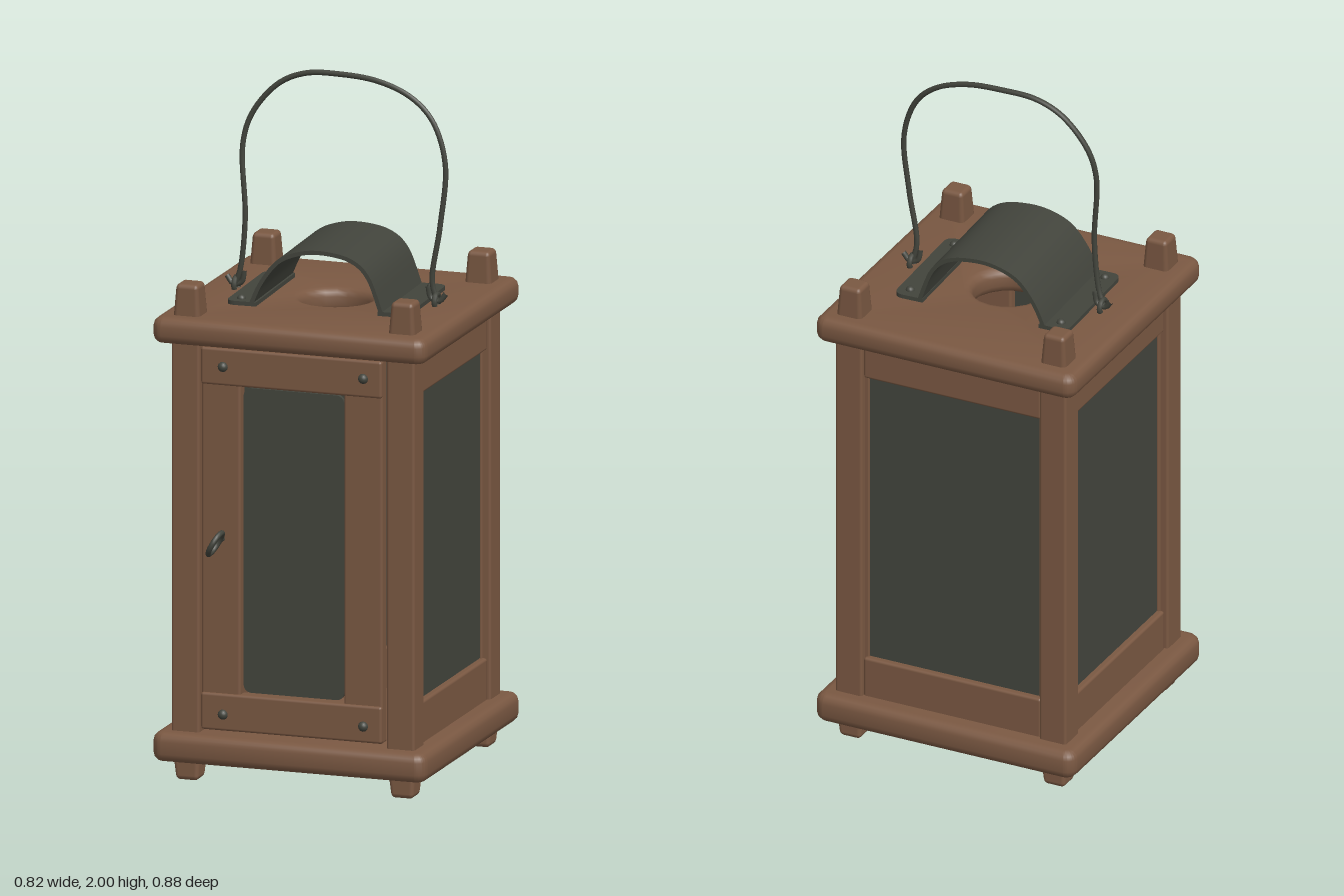
import * as THREE from 'three';
import { toCreasedNormals } from 'three/addons/utils/BufferGeometryUtils.js';
import { RoundedBoxGeometry } from 'three/addons/geometries/RoundedBoxGeometry.js';

const wood = new THREE.MeshStandardMaterial({ color: 0x7a5842 });
wood.name = 'brown wood';
const metal = new THREE.MeshStandardMaterial({ color: 0x42443c });
metal.name = 'dark iron';
const glass = new THREE.MeshStandardMaterial({ color: 0x43453d });
glass.name = 'smoky glass';

const ZC = -0.025; // middle of the lantern body in z

function add(parent, name, geometry, material, x = 0, y = 0, z = 0) {
  const mesh = new THREE.Mesh(geometry, material);
  mesh.name = name;
  mesh.position.set(x, y, z);
  parent.add(mesh);
  return mesh;
}

// Softened box given by its limits
function beam(parent, name, [x0, x1], [y0, y1], [z0, z1], material = wood, r = 0.008) {
  return add(parent, name, new RoundedBoxGeometry(x1 - x0, y1 - y0, z1 - z0, 2, r), material,
    (x0 + x1) / 2, (y0 + y1) / 2, (z0 + z1) / 2);
}

function roundedRect(w, h, r) {
  const s = new THREE.Shape();
  const a = w / 2, b = h / 2;
  s.absarc(a - r, b - r, r, 0, Math.PI / 2);
  s.absarc(-a + r, b - r, r, Math.PI / 2, Math.PI);
  s.absarc(-a + r, -b + r, r, Math.PI, Math.PI * 1.5);
  s.absarc(a - r, -b + r, r, Math.PI * 1.5, Math.PI * 2);
  s.closePath();
  return s;
}

// Thick board with soft edges, optionally with a round vent
function slab(parent, name, y0, y1, ventRadius) {
  const bevel = 0.025;
  const shape = roundedRect(0.82 - 2 * bevel, 0.825 - 2 * bevel, 0.012);
  if (ventRadius) {
    const hole = new THREE.Path();
    hole.absarc(0, 0, ventRadius + bevel, 0, Math.PI * 2, true);
    shape.holes.push(hole);
  }
  const g = new THREE.ExtrudeGeometry(shape, {
    depth: y1 - y0 - 2 * bevel, bevelSize: bevel, bevelThickness: bevel, bevelSegments: 3, curveSegments: 10,
  });
  g.translate(0, 0, bevel).rotateX(-Math.PI / 2);
  add(parent, name, toCreasedNormals(g, 0.65), wood, 0, y0, ZC);
}

// Peg that narrows toward its outer end
function peg(parent, name, x, y0, y1, z, narrowTop) {
  const h = y1 - y0;
  const g = new RoundedBoxGeometry(0.082, h, 0.082, 2, 0.014);
  const p = g.attributes.position;
  for (let i = 0; i < p.count; i++) {
    const t = p.getY(i) / h + 0.5;
    const k = 1 - 0.2 * (narrowTop ? t : 1 - t);
    p.setX(i, p.getX(i) * k);
    p.setZ(i, p.getZ(i) * k);
  }
  add(parent, name, g, wood, x, (y0 + y1) / 2, z);
}

// Domed rivet head, its dome along +y
function rivet(parent, x, y, z, r = 0.013) {
  const g = new THREE.SphereGeometry(r, 12, 6, 0, Math.PI * 2, 0, Math.PI / 2);
  return add(parent, 'rivet', g, metal, x, y, z);
}

// Pane with rounded corners facing +z
function pane(parent, name, w, h) {
  const g = new THREE.ExtrudeGeometry(roundedRect(w, h, 0.022), { depth: 0.012, bevelEnabled: false, curveSegments: 4 });
  return add(parent, name, g, glass);
}

function tube(parent, name, points, radius, segments) {
  const curve = new THREE.CatmullRomCurve3(points.map((p) => new THREE.Vector3(...p)));
  return add(parent, name, new THREE.TubeGeometry(curve, segments, radius, 8), metal);
}

// Wall of two rails and a pane, built facing +z, width along x
function wall(parent, name, width) {
  const g = new THREE.Group();
  g.name = name;
  const a = width / 2;
  beam(g, 'upperRail', [-a, a], [1.16, 1.285], [-0.045, 0]);
  beam(g, 'lowerRail', [-a, a], [0.135, 0.265], [-0.045, 0]);
  for (const s of [-1, 1]) beam(g, 'paneEdge', [s * a - 0.012, s * a + 0.012], [0.25, 1.18], [-0.05, -0.012], wood, 0.004);
  pane(g, 'pane', width - 0.012, 0.905).position.set(0, 0.712, -0.031);
  parent.add(g);
  return g;
}

// Bent sheet hood over the vent
function buildHood() {
  const hood = new THREE.Group();
  hood.name = 'ventHood';
  const depth = 0.366, t = 0.006;
  const curve = new THREE.SplineCurve([[-0.195, 0], [-0.165, 0.065], [-0.115, 0.128], [-0.05, 0.157],
    [0.02, 0.163], [0.1, 0.147], [0.152, 0.1], [0.19, 0]].map((p) => new THREE.Vector2(...p)));
  const outer = [], inner = [];
  for (let i = 0; i <= 32; i++) {
    const p = curve.getPoint(i / 32), d = curve.getTangent(i / 32);
    outer.push(new THREE.Vector2(p.x - d.y * t, p.y + d.x * t));
    inner.unshift(new THREE.Vector2(p.x + d.y * t, p.y - d.x * t));
  }
  const arch = new THREE.ExtrudeGeometry(new THREE.Shape([...outer, ...inner]), { depth, bevelEnabled: false });
  arch.translate(0, 0, -depth / 2);
  add(hood, 'arch', toCreasedNormals(arch, 0.6), metal);

  // Flat flanges with rounded outer corners
  const h = depth / 2, r = 0.03, x0 = 0.18, x1 = 0.27;
  const s = new THREE.Shape();
  s.moveTo(x0, -h);
  s.lineTo(x1 - r, -h);
  s.quadraticCurveTo(x1, -h, x1, -h + r);
  s.lineTo(x1, h - r);
  s.quadraticCurveTo(x1, h, x1 - r, h);
  s.lineTo(x0, h);
  s.closePath();
  for (const side of [1, -1]) {
    const g = new THREE.ExtrudeGeometry(s, { depth: 0.012, bevelEnabled: false });
    g.rotateX(-Math.PI / 2);
    if (side < 0) g.rotateY(Math.PI);
    add(hood, 'flange', g, metal, 0, -0.006, 0);
    for (const z of [-0.148, 0.148]) rivet(hood, side * 0.234, 0.005, z);
  }
  hood.position.set(0, 1.356, ZC - 0.003);
  hood.rotation.y = 0.035;
  return hood;
}

export function createModel() {
  const model = new THREE.Group();
  model.name = 'lantern';

  // Boards
  slab(model, 'baseBoard', 0.06, 0.145, 0);
  slab(model, 'topBoard', 1.275, 1.35, 0.1);

  // Corner posts, feet and top pegs
  for (const x of [-0.322, 0.322]) {
    for (const z of [0.297, -0.345]) {
      beam(model, 'post', [x - 0.042, x + 0.042], [0.13, 1.29], [z - 0.042, z + 0.042]);
      peg(model, 'foot', x, 0, 0.08, z - 0.002, false);
      peg(model, 'topPeg', x, 1.33, 1.44, z - 0.003, true);
    }
  }

  // Glazed side and back walls
  for (const s of [-1, 1]) {
    const w = wall(model, s > 0 ? 'leftWall' : 'rightWall', 0.56);
    w.rotation.y = s * Math.PI / 2;
    w.position.set(s * 0.354, 0, ZC);
  }
  const back = wall(model, 'backWall', 0.56);
  back.rotation.y = Math.PI;
  back.position.z = -0.377;

  // Door with window, rivets and ring pull
  const door = new THREE.Group();
  door.name = 'door';
  model.add(door);
  const dz = [0.295, 0.338];
  beam(door, 'doorStile', [-0.274, -0.157], [0.155, 1.27], dz);
  beam(door, 'doorStile', [0.152, 0.268], [0.155, 1.27], dz);
  beam(door, 'doorRail', [-0.274, 0.268], [1.16, 1.268], [0.3, 0.345]);
  beam(door, 'doorRail', [-0.274, 0.268], [0.157, 0.265], [0.3, 0.345]);
  pane(door, 'window', 0.3, 0.885).position.set(-0.002, 0.712, 0.312);
  for (const x of [-0.207, 0.213]) {
    for (const y of [0.205, 1.215]) rivet(door, x, y, 0.344, 0.015).rotation.x = Math.PI / 2;
  }
  const ring = add(door, 'ringPull', new THREE.TorusGeometry(0.036, 0.008, 8, 24), metal, -0.21, 0.714, 0.4);
  ring.rotation.set(0, Math.PI / 2, -0.5, 'ZYX');
  tube(door, 'ringStem', [[-0.21, 0.714, 0.33], [-0.21, 0.714, 0.366]], 0.007, 2);

  // Hood and wire bail
  model.add(buildHood());
  tube(model, 'handle', [[-0.3, 1.365, -0.025], [-0.285, 1.41, -0.022], [-0.27, 1.56, -0.02], [-0.28, 1.77, -0.028],
    [-0.255, 1.86, -0.036], [-0.18, 1.95, -0.044], [-0.1, 1.986, -0.048], [0, 1.991, -0.05], [0.12, 1.98, -0.047],
    [0.22, 1.942, -0.042], [0.285, 1.88, -0.037], [0.325, 1.76, -0.031], [0.312, 1.58, -0.024],
    [0.288, 1.42, -0.024], [0.3, 1.365, -0.028]], 0.008, 90);
  for (const s of [-1, 1]) {
    const eye = add(model, 'handleEye', new THREE.TorusGeometry(0.02, 0.008, 8, 16), metal, s * 0.3, 1.362, -0.028);
    eye.rotation.y = Math.PI / 2;
    tube(model, 'handleHook', [[s * 0.275, 1.405, -0.026], [s * 0.283, 1.37, -0.028], [s * 0.308, 1.362, -0.028],
      [s * 0.328, 1.385, -0.03]], 0.008, 12);
  }
  return model;
}
